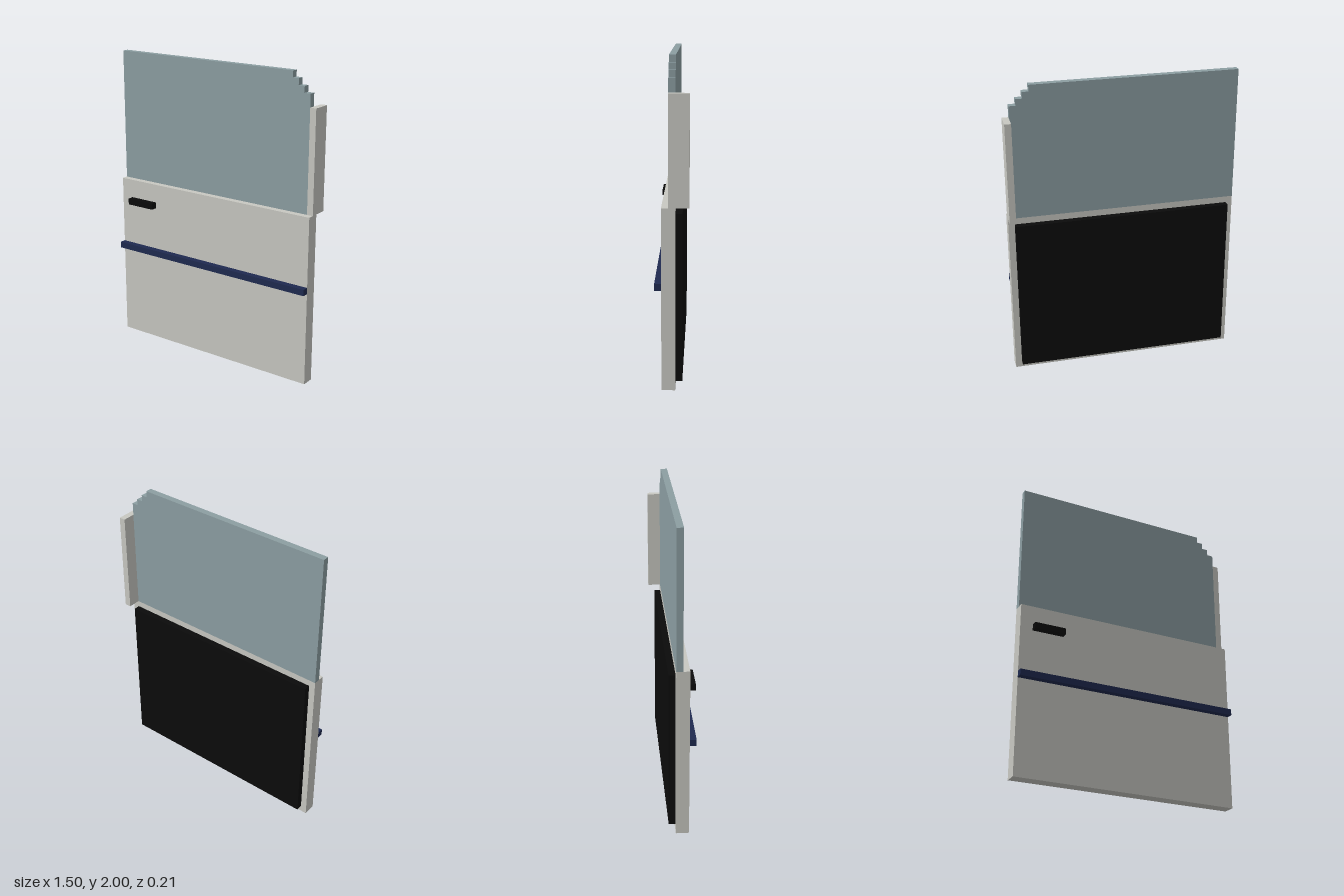
import * as THREE from 'three';

const U = 1 / 24; // modelling grid unit

function material(name, color) {
  const m = new THREE.MeshStandardMaterial({ color });
  m.name = name;
  return m;
}

export function createModel() {
  const paint = material('pale grey paint', 0xc8c8c2);
  const glassTint = material('blue grey glass', 0x8c9ea2);
  const navy = material('navy trim', 0x1f2a50);
  const black = material('black', 0x0b0b0b);

  const door = new THREE.Group();
  door.name = 'vehicleDoor';

  // Box given by its extents in grid units
  function block(name, mat, [x0, x1], [y0, y1], [z0, z1]) {
    const geo = new THREE.BoxGeometry((x1 - x0) * U, (y1 - y0) * U, (z1 - z0) * U);
    const mesh = new THREE.Mesh(geo, mat);
    mesh.position.set((x0 + x1) * U / 2, (y0 + y1) * U / 2, (z0 + z1) * U / 2);
    mesh.name = name;
    door.add(mesh);
  }

  block('doorPanel', paint, [-18, 18], [0, 27], [-0.5, 1.5]);
  block('windowPost', paint, [17, 18], [27, 43], [-2.5, 0.5]);
  block('innerLining', black, [-17, 17], [1, 26], [-1.5, -0.5]);
  block('trimStrip', navy, [-18, 18], [15, 16], [1.5, 2.5]);
  block('doorHandle', black, [-16, -11], [23, 24], [1.5, 2.5]);

  // Window pane with a stepped upper corner
  const outline = new THREE.Shape();
  outline.moveTo(-18 * U, 27 * U);
  outline.lineTo(17 * U, 27 * U);
  for (let i = 0; i < 4; i++) {
    outline.lineTo((17 - i) * U, (45 + i) * U);
    if (i < 3) outline.lineTo((16 - i) * U, (45 + i) * U);
  }
  outline.lineTo(-18 * U, 48 * U);
  const paneGeo = new THREE.ExtrudeGeometry(outline, { depth: U, bevelEnabled: false });
  paneGeo.translate(0, 0, -U / 2);
  const pane = new THREE.Mesh(paneGeo, glassTint);
  pane.name = 'windowPane';
  door.add(pane);

  return door;
}
